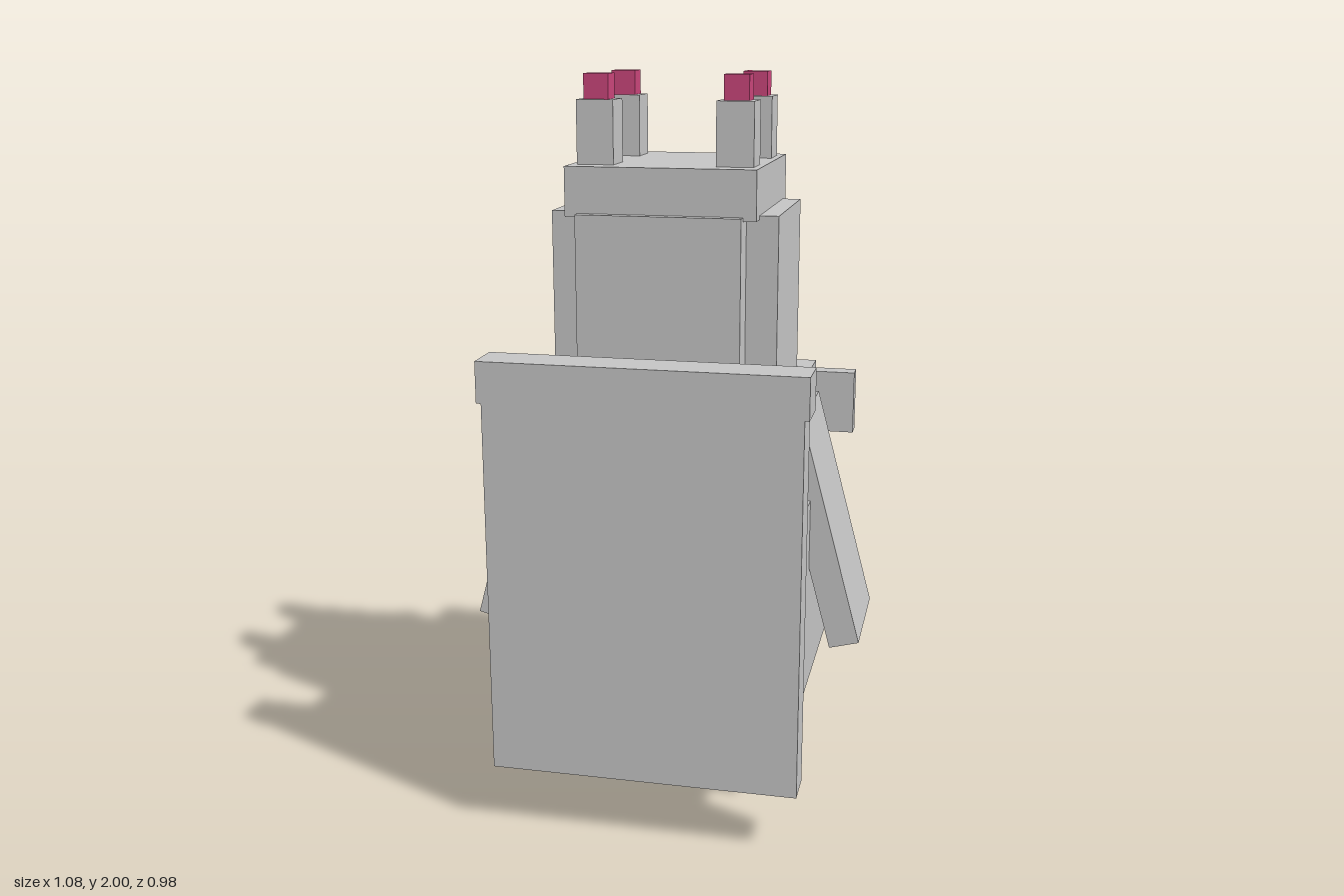
import * as THREE from 'three';

export function createModel() {
  const model = new THREE.Group();
  const gray = new THREE.MeshStandardMaterial({ color: 0xc4c4c4 });
  gray.name = 'stone gray';
  const pink = new THREE.MeshStandardMaterial({ color: 0xc8457a });
  pink.name = 'candle pink';

  // box given by its limits on each axis
  const box = (name, [x0, x1], [y0, y1], [z0, z1], material = gray) => {
    const mesh = new THREE.Mesh(new THREE.BoxGeometry(x1 - x0, y1 - y0, z1 - z0), material);
    mesh.position.set((x0 + x1) / 2, (y0 + y1) / 2, (z0 + z1) / 2);
    mesh.name = name;
    model.add(mesh);
    return mesh;
  };
  // box symmetric about x = 0
  const mid = (name, w, y, z) => box(name, [-w, w], y, z);
  // box mirrored to both sides
  const pair = (name, [x0, x1], y, z) => {
    box(name + 'Left', [x0, x1], y, z);
    box(name + 'Right', [-x1, -x0], y, z);
  };

  // feet and body, each body layer made of two crossing boxes
  pair('foot', [0.06, 0.275], [0, 0.07], [-0.265, 0.03]);
  mid('bodyLong', 0.2, [0.1, 1.1], [-0.19, 0.29]);
  mid('bodyWide', 0.275, [0.1, 1.1], [-0.12, 0.217]);
  mid('bellyLong', 0.29, [0.365, 0.9], [-0.31, 0.386]);
  mid('bellyWide', 0.4, [0.365, 0.9], [-0.21, 0.304]);
  mid('apron', 0.277, [0.19, 0.99], [-0.335, -0.255]);
  mid('shoulders', 0.344, [1.05, 1.17], [-0.295, 0.338]);

  // slab carried on the back
  mid('backSlab', 0.415, [0.17, 1.19], [0.386, 0.485]);
  mid('backSlabRim', 0.427, [1.19, 1.3], [0.373, 0.488]);

  // slanted arms
  for (const side of [-1, 1]) {
    const arm = new THREE.Mesh(new THREE.BoxGeometry(0.082, 0.636, 0.333), gray);
    arm.position.set(side * 0.418, 0.802, 0.047);
    arm.rotation.z = side * THREE.MathUtils.degToRad(15);
    arm.name = side > 0 ? 'armLeft' : 'armRight';
    model.add(arm);
  }

  // collar bow and hanging tag
  pair('bow', [0.03, 0.459], [0.96, 1.14], [-0.331, -0.28]);
  box('tag', [0.125, 0.232], [0.8, 1.1], [-0.343, -0.3]);
  box('tagTip', [0.12, 0.234], [0.75, 0.8], [-0.357, -0.315]);

  // head and face
  mid('headLong', 0.217, [1.17, 1.65], [-0.275, 0.283]);
  mid('headWide', 0.301, [1.17, 1.65], [-0.198, 0.204]);
  mid('facePlate', 0.233, [1.19, 1.5], [-0.33, -0.262]);
  mid('snout', 0.092, [1.25, 1.35], [-0.492, -0.32]);
  pair('eye', [0.085, 0.167], [1.38, 1.48], [-0.37, -0.32]);
  pair('pupil', [0.094, 0.13], [1.435, 1.475], [-0.385, -0.36]);

  // cap with four tipped posts
  mid('cap', 0.251, [1.64, 1.77], [-0.246, 0.255]);
  for (const x of [-0.184, 0.184]) {
    for (const z of [-0.14, 0.146]) {
      box('post', [x - 0.049, x + 0.049], [1.77, 1.935], [z - 0.049, z + 0.049]);
      box('postTip', [x - 0.033, x + 0.033], [1.935, 2], [z - 0.033, z + 0.033], pink);
    }
  }
  return model;
}
